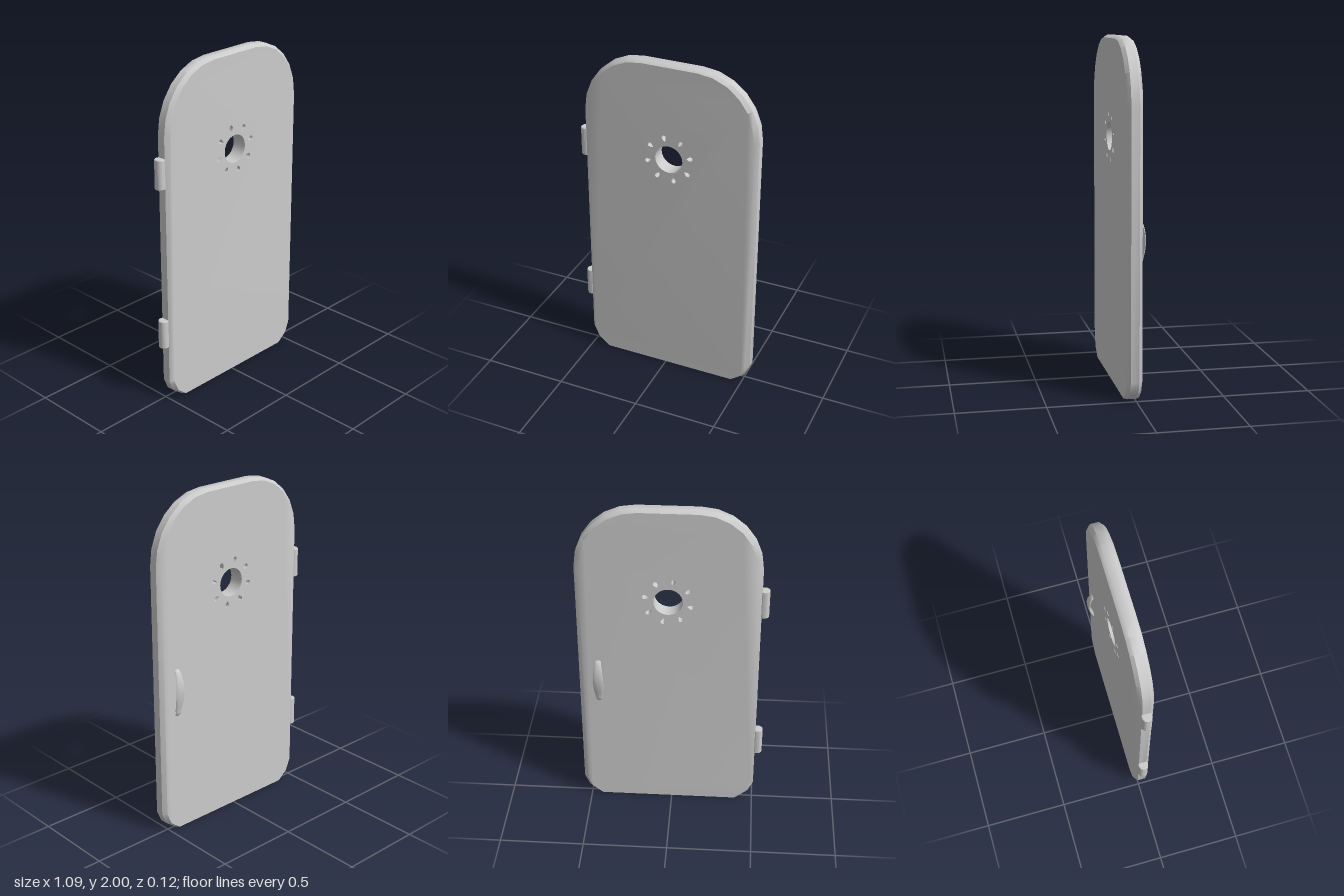
import * as THREE from 'three';
import { toCreasedNormals } from 'three/addons/utils/BufferGeometryUtils.js';

const CX = 0.02;                         // middle of the door panel
const HOLE_Y = 1.43;                     // height of the window
const LAYERS = [-0.028, -0.008, 0.04, 0.06]; // back face, chamfers, front face

const material = new THREE.MeshStandardMaterial({ color: 0xcccccc });

function addMesh(parent, name, geometry) {
  const mesh = new THREE.Mesh(geometry, material);
  mesh.name = name;
  parent.add(mesh);
  return mesh;
}

// Right half of the outline, from the bottom up, relative to the middle
function doorShape() {
  const half = [[0.43, 0], [0.495, 0.05], [0.525, 0.12]];
  for (let i = 0; i <= 6; i++) {
    const a = (i / 6) * Math.PI / 2;
    half.push([0.175 + 0.35 * Math.cos(a), 1.63 + 0.37 * Math.sin(a)]);
  }
  const right = half.map(([x, y]) => new THREE.Vector2(CX + x, y));
  const left = half.map(([x, y]) => new THREE.Vector2(CX - x, y)).reverse();
  return new THREE.Shape([...right, ...left]);
}

// Drop-shaped cut-out, its point towards the window
function dropHole(angle) {
  const points = [];
  for (let i = 0; i < 12; i++) {
    const t = (i / 12) * Math.PI * 2;
    const along = 0.13 - 0.019 * Math.cos(t);
    const across = 0.017 * Math.sin(t) * Math.sin(t / 2);
    points.push(new THREE.Vector2(
      CX + along * Math.cos(angle) - across * Math.sin(angle),
      HOLE_Y + along * Math.sin(angle) + across * Math.cos(angle)));
  }
  return new THREE.Path(points);
}

function doorGeometry() {
  const shape = doorShape();
  shape.holes.push(new THREE.Path().absarc(CX, HOLE_Y, 0.083, 0, Math.PI * 2));
  for (let i = 0; i < 8; i++) {
    shape.holes.push(dropHole(THREE.MathUtils.degToRad(13 + 45 * i)));
  }
  const geometry = new THREE.ExtrudeGeometry(shape, {
    depth: 3, steps: 3, curveSegments: 12, bevelEnabled: false,
  });

  // Set the layer depths and draw in the outer rim on both faces
  const p = geometry.attributes.position;
  for (let i = 0; i < p.count; i++) {
    const layer = Math.round(p.getZ(i));
    const x = p.getX(i), y = p.getY(i);
    const onRim = Math.hypot(x - CX, y - HOLE_Y) > 0.3;
    if (onRim && (layer === 0 || layer === 3)) {
      p.setX(i, CX + (x - CX) * 0.957);
      p.setY(i, y - 0.015 * Math.max(0, (y - 1.63) / 0.37));
    }
    p.setZ(i, LAYERS[layer]);
  }
  return toCreasedNormals(geometry, 0.75);
}

// Hinge barrel with slightly softened ends
function hingeGeometry(height) {
  const h = height / 2, r = 0.03;
  const profile = [[0, -h], [r - 0.004, -h], [r, -h + 0.004], [r, h - 0.004], [r - 0.004, h], [0, h]];
  const lathe = new THREE.LatheGeometry(profile.map(([x, y]) => new THREE.Vector2(x, y)), 20);
  return toCreasedNormals(lathe, 0.5);
}

// Bowed pull, broad in the middle and narrow at both ends
function handleGeometry() {
  const path = new THREE.CatmullRomCurve3([
    [1.012, -0.02], [1.002, -0.033], [0.96, -0.05], [0.9, -0.057],
    [0.84, -0.052], [0.77, -0.037], [0.738, -0.03], [0.735, -0.02],
  ].map(([y, z]) => new THREE.Vector3(0, y, z)));
  const geometry = new THREE.TubeGeometry(path, 32, 0.0075, 14, false);
  const p = geometry.attributes.position;
  for (let i = 0; i < p.count; i++) {
    const t = THREE.MathUtils.clamp((p.getY(i) - 0.73) / 0.29, 0, 1);
    p.setX(i, p.getX(i) * (2 + 2 * Math.sin(t * Math.PI)));
  }
  geometry.computeVertexNormals();
  return geometry;
}

export function createModel() {
  const door = new THREE.Group();
  door.name = 'door';
  addMesh(door, 'doorPanel', doorGeometry());
  addMesh(door, 'upperHinge', hingeGeometry(0.175)).position.set(-0.518, 1.42, 0.015);
  addMesh(door, 'lowerHinge', hingeGeometry(0.175)).position.set(-0.518, 0.44, 0.015);
  addMesh(door, 'handle', handleGeometry()).position.x = 0.43;
  return door;
}
